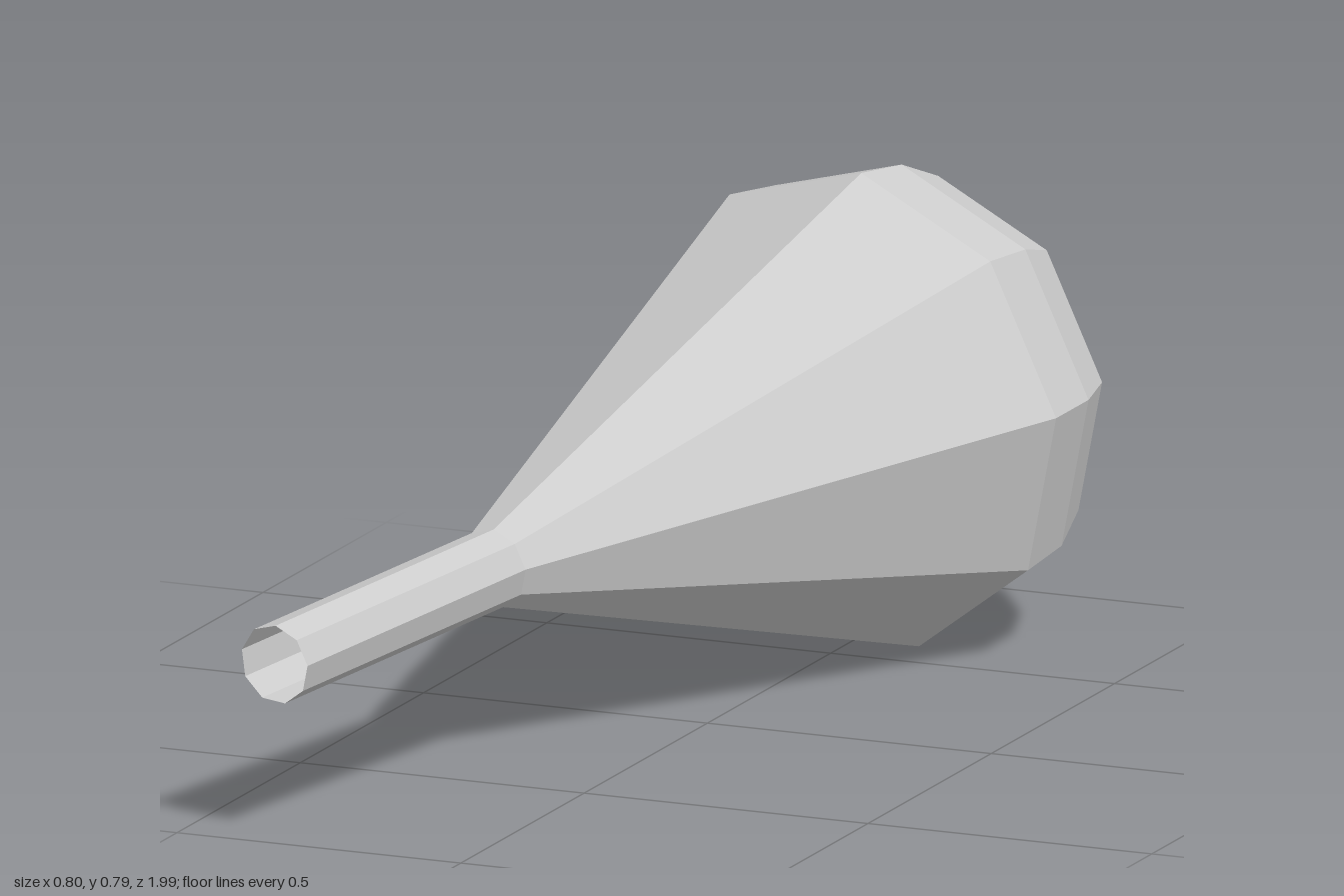
import * as THREE from 'three';

const SIDES = 9;
const RIM = 0.402; // radius where the dome meets the cone

export function createModel() {
  const model = new THREE.Group();
  const material = new THREE.MeshStandardMaterial({
    color: 0xcccccc, flatShading: true, side: THREE.DoubleSide,
  });

  // Everything is turned around one tilted axis: origin at the rim, +z towards the shank's end.
  const body = new THREE.Group();
  body.name = 'bulb';
  body.position.set(0, 0.388, -0.6);
  body.lookAt(-0.335, 0.296, 0.985);
  model.add(body);

  // Profile points are [radius, distance along the axis towards the back].
  function addTurned(name, profile) {
    const points = profile.map(([r, d]) => new THREE.Vector2(r, d));
    const geometry = new THREE.LatheGeometry(points, SIDES, THREE.MathUtils.degToRad(4));
    geometry.rotateX(-Math.PI / 2);
    const mesh = new THREE.Mesh(geometry, material);
    mesh.name = name;
    body.add(mesh);
  }

  // Thin shank, open at its end
  addTurned('shank', [[0.066, -1.622], [0.066, -1.013]]);

  // Long cone flaring out to the rim
  addTurned('flaredCone', [[0.066, -1.013], [RIM, 0]]);

  // Rounded back: four even bands, then a wide fan closing at the pole
  const dome = [];
  for (let i = 0; i < 5; i++) {
    const a = (i * Math.PI) / 11;
    dome.push([RIM * Math.cos(a), RIM * Math.sin(a)]);
  }
  dome.push([0, RIM]);
  addTurned('dome', dome);

  return model;
}
